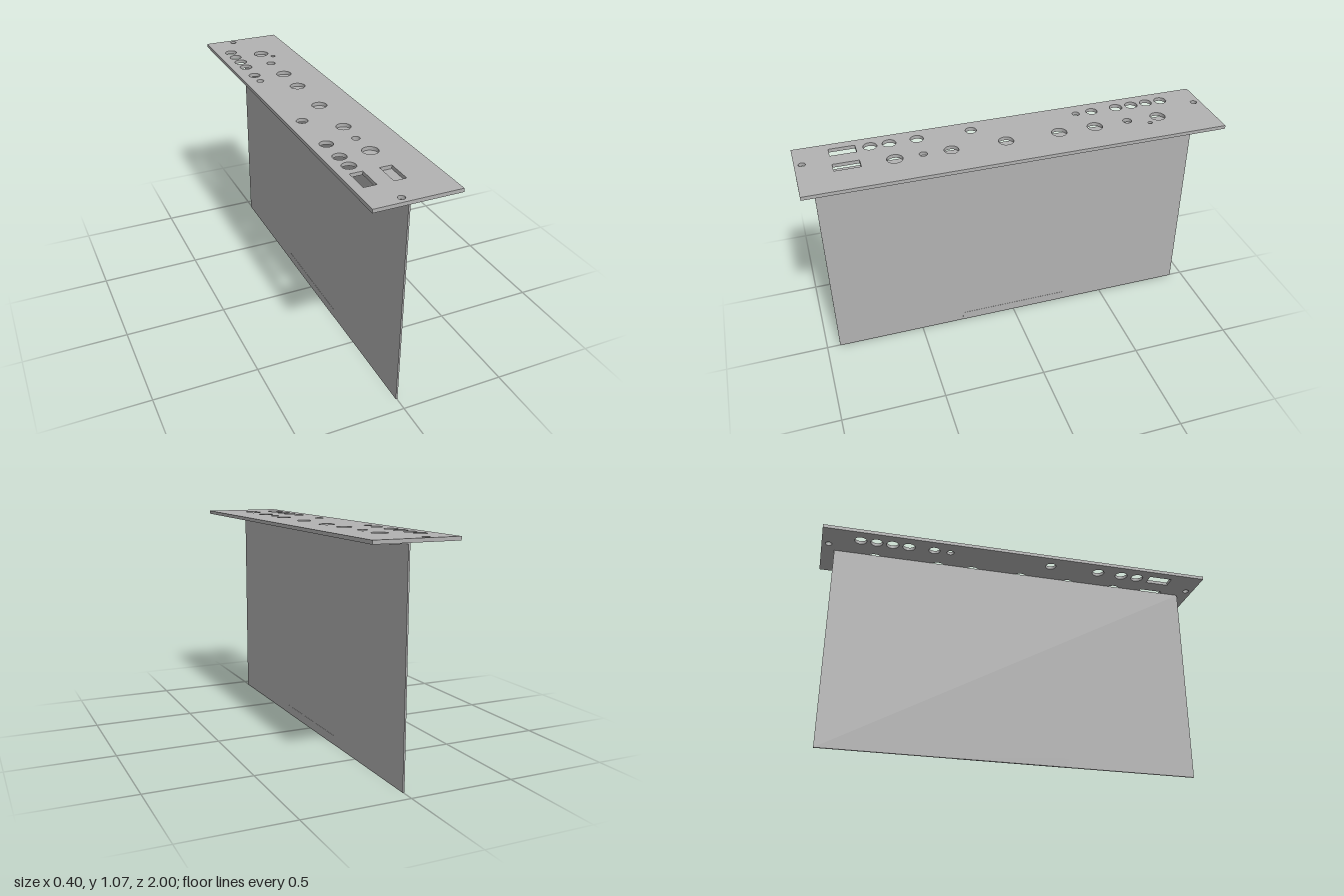
import * as THREE from 'three';

const grey = new THREE.MeshStandardMaterial({ color: 0xb2b2b2 });
grey.name = 'plain grey';

// Box given by its lower and upper limits on each axis
function slab(name, [x0, x1], [y0, y1], [z0, z1]) {
  const mesh = new THREE.Mesh(new THREE.BoxGeometry(x1 - x0, y1 - y0, z1 - z0), grey);
  mesh.position.set((x0 + x1) / 2, (y0 + y1) / 2, (z0 + z1) / 2);
  mesh.name = name;
  return mesh;
}

function rectangle(path, x0, x1, z0, z1) {
  path.moveTo(x0, z0);
  path.lineTo(x1, z0);
  path.lineTo(x1, z1);
  path.lineTo(x0, z1);
  path.closePath();
  return path;
}

// Round holes in the panel: x, z, radius
const ROUND_HOLES = [
  // screw holes at the ends
  [-0.058, -0.965, 0.016], [-0.058, 0.965, 0.016],
  // outer row
  [-0.125, -0.812, 0.03], [-0.125, -0.733, 0.03], [-0.125, -0.654, 0.031],
  [-0.125, -0.572, 0.031], [-0.125, -0.443, 0.028], [-0.125, -0.361, 0.018],
  [-0.125, 0.17, 0.027], [-0.125, 0.431, 0.031], [-0.125, 0.561, 0.032], [-0.125, 0.65, 0.032],
  // middle row
  [0.019, -0.73, 0.037], [0.015, -0.572, 0.022], [0.019, -0.403, 0.037],
  [0.019, -0.222, 0.037], [0.019, 0.04, 0.036], [0.019, 0.301, 0.034],
  [0.016, 0.431, 0.019], [0.018, 0.562, 0.037],
  // indicator hole
  [0.065, -0.67, 0.011],
];

function panel() {
  const shape = rectangle(new THREE.Shape(), -0.2, 0.2, -1, 1);
  for (const [x, z, r] of ROUND_HOLES) {
    shape.holes.push(new THREE.Path().absarc(x, z, r, 0, Math.PI * 2, true));
  }
  for (const [x0, x1] of [[-0.155, -0.095], [-0.02, 0.037]]) {
    shape.holes.push(rectangle(new THREE.Path(), x0, x1, 0.715, 0.837));
  }
  const geometry = new THREE.ExtrudeGeometry(shape, { depth: 0.017, bevelEnabled: false, curveSegments: 16 });
  geometry.rotateX(Math.PI / 2);
  const mesh = new THREE.Mesh(geometry, grey);
  mesh.position.y = 1.065;
  mesh.name = 'panel';
  return mesh;
}

export function createModel() {
  const model = new THREE.Group();
  model.name = 'slottedPanel';
  model.add(
    panel(),
    // upright board and the flange that joins it to the panel
    slab('board', [-0.005, 0.003], [0, 1.048], [-0.935, 0.935]),
    slab('flange', [0.003, 0.08], [1.037, 1.048], [-0.935, 0.935]),
    // slightly raised connector edge at the foot of the board
    slab('connectorEdge', [-0.006, 0.004], [0, 0.045], [-0.28, 0.28]),
  );
  return model;
}
